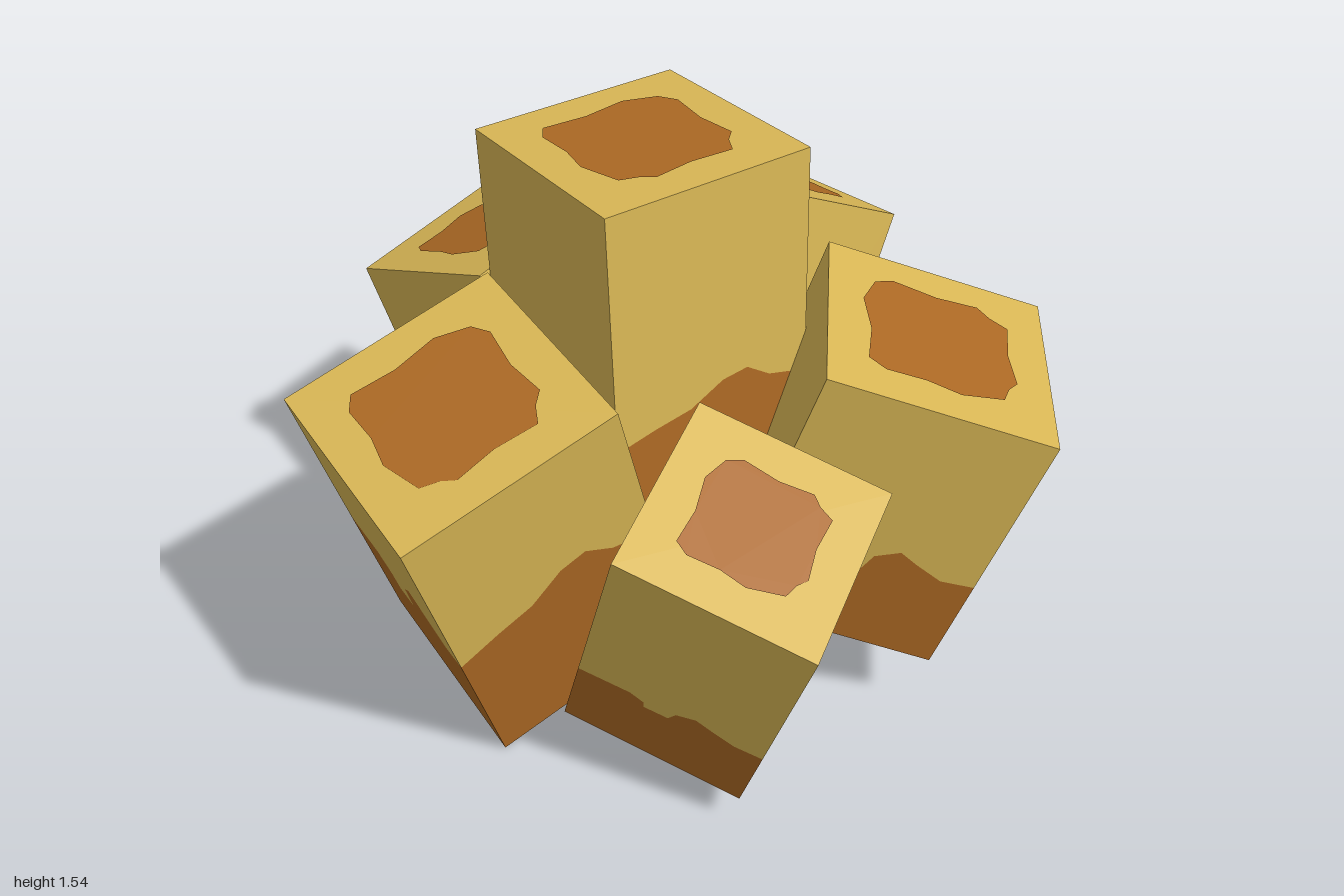
import * as THREE from 'three';
import { mergeGeometries } from 'three/addons/utils/BufferGeometryUtils.js';

// Wavy edge between crust and base on each side: [position across, height offset]
const WAVES = [
  [[0, 0], [0.28, 0.02], [0.36, -0.03], [0.37, -0.1], [0.5, -0.09], [0.53, 0.02], [0.63, 0.09], [0.72, 0.04], [0.85, -0.02], [1, 0]],
  [[0, 0], [0.2, 0.03], [0.38, 0.05], [0.55, 0.11], [0.68, 0.12], [0.8, 0.06], [1, 0.02]],
  [[0, 0.02], [0.2, 0.05], [0.35, 0.02], [0.42, -0.08], [0.52, -0.08], [0.58, 0.03], [0.8, 0.06], [1, 0.01]],
  [[0, 0.01], [0.18, 0.05], [0.4, 0.02], [0.6, 0.06], [0.82, 0.03], [1, 0]],
];

// Ragged patch on the top, in a unit square
const PATCH = [[-0.47, -0.4], [-0.36, -0.47], [-0.1, -0.46], [0.12, -0.5], [0.4, -0.42], [0.44, -0.3], [0.5, -0.22],
  [0.46, 0.05], [0.48, 0.34], [0.36, 0.4], [0.28, 0.48], [0, 0.45], [-0.3, 0.49], [-0.42, 0.42], [-0.5, 0.2], [-0.45, -0.1]];

// top: centre of the top face; u, v: directions of its right and front edges;
// split: share of the height covered by the crust; wave: strength of the wavy edge
const BLOCKS = [
  { name: 'centreBlock', top: [-0.135, 1.53, -0.06], u: [0.6, 0.03, 0.12], v: [-0.12, 0, 0.6], width: 0.605, height: 1.2, split: 0.56, wave: 0.7 },
  { name: 'frontBlock', top: [-0.105, 1.085, 0.64], u: [0.59, -0.08, 0.115], v: [-0.14, -0.17, 0.565], width: 0.605, height: 1.0, split: 0.53, wave: 1 },
  { name: 'leftFrontBlock', top: [0.655, 0.99, 0.37], u: [0.44, -0.14, -0.19], v: [0.17, -0.11, 0.465], width: 0.505, height: 0.8, split: 0.67, wave: 0.4 },
  { name: 'leftBackBlock', top: [0.585, 1.085, -0.41], u: [0.44, -0.175, -0.36], v: [0.38, -0.015, 0.48], width: 0.602, height: 0.81, split: 0.63, wave: 0.65 },
  { name: 'backBlock', top: [-0.185, 1.08, -0.79], u: [0.39, 0.04, 0.05], v: [-0.06, 0.18, 0.35], width: 0.4, height: 0.8, split: 0.66, wave: 0.4 },
  { name: 'rightBlock', top: [-0.735, 1.04, -0.01], u: [0.47, 0.165, -0.04], v: [0.06, -0.045, 0.498], width: 0.5, height: 0.8, split: 0.67, wave: 0.4 },
];

const flat = (points) => new THREE.ShapeGeometry(new THREE.Shape(points.map(([x, y]) => new THREE.Vector2(x, y))));

function makeBlock({ name, top, u, v, width, height, split, wave }, crustColor, baseColor) {
  const block = new THREE.Group();
  block.name = name;
  const half = width / 2;
  const crust = [];
  const base = [];

  // Four sides, each cut along the wavy edge
  WAVES.forEach((profile, i) => {
    const edge = profile.map(([s, dy]) => [s * width - half, (dy * wave - split) * height]);
    const back = [...edge].reverse();
    const place = (g) => g.translate(0, 0, half).rotateY(i * Math.PI / 2);
    crust.push(place(flat([...edge, [half, 0], [-half, 0]])));
    base.push(place(flat([[-half, -height], [half, -height], ...back])));
  });

  // Top and bottom faces
  crust.push(new THREE.PlaneGeometry(width, width).rotateX(-Math.PI / 2));
  base.push(new THREE.PlaneGeometry(width, width).rotateX(Math.PI / 2).translate(0, -height, 0));

  const add = (part, geometry, material) => {
    const mesh = new THREE.Mesh(geometry, material);
    mesh.name = part;
    block.add(mesh);
  };
  add('crust', mergeGeometries(crust), crustColor);
  add('base', mergeGeometries(base), baseColor);

  // Patch set just above the top, with an even margin around it
  const size = width - 0.19;
  const patch = flat(PATCH.map(([x, y]) => [x * size, y * size]));
  add('topPatch', patch.rotateX(-Math.PI / 2).translate(0, 0.003, 0), baseColor);

  // Lean the block along its top edges
  const x = new THREE.Vector3(...u).normalize();
  const y = new THREE.Vector3(...v).cross(x).normalize();
  const z = new THREE.Vector3().crossVectors(x, y);
  block.quaternion.setFromRotationMatrix(new THREE.Matrix4().makeBasis(x, y, z));
  block.position.set(...top);
  return block;
}

export function createModel() {
  const yellow = new THREE.MeshStandardMaterial({ color: 0xd9b755 });
  yellow.name = 'mustardYellow';
  const brown = new THREE.MeshStandardMaterial({ color: 0xac6924 });
  brown.name = 'rustBrown';

  const model = new THREE.Group();
  model.name = 'blockCluster';
  BLOCKS.forEach((spec) => model.add(makeBlock(spec, yellow, brown)));
  return model;
}
